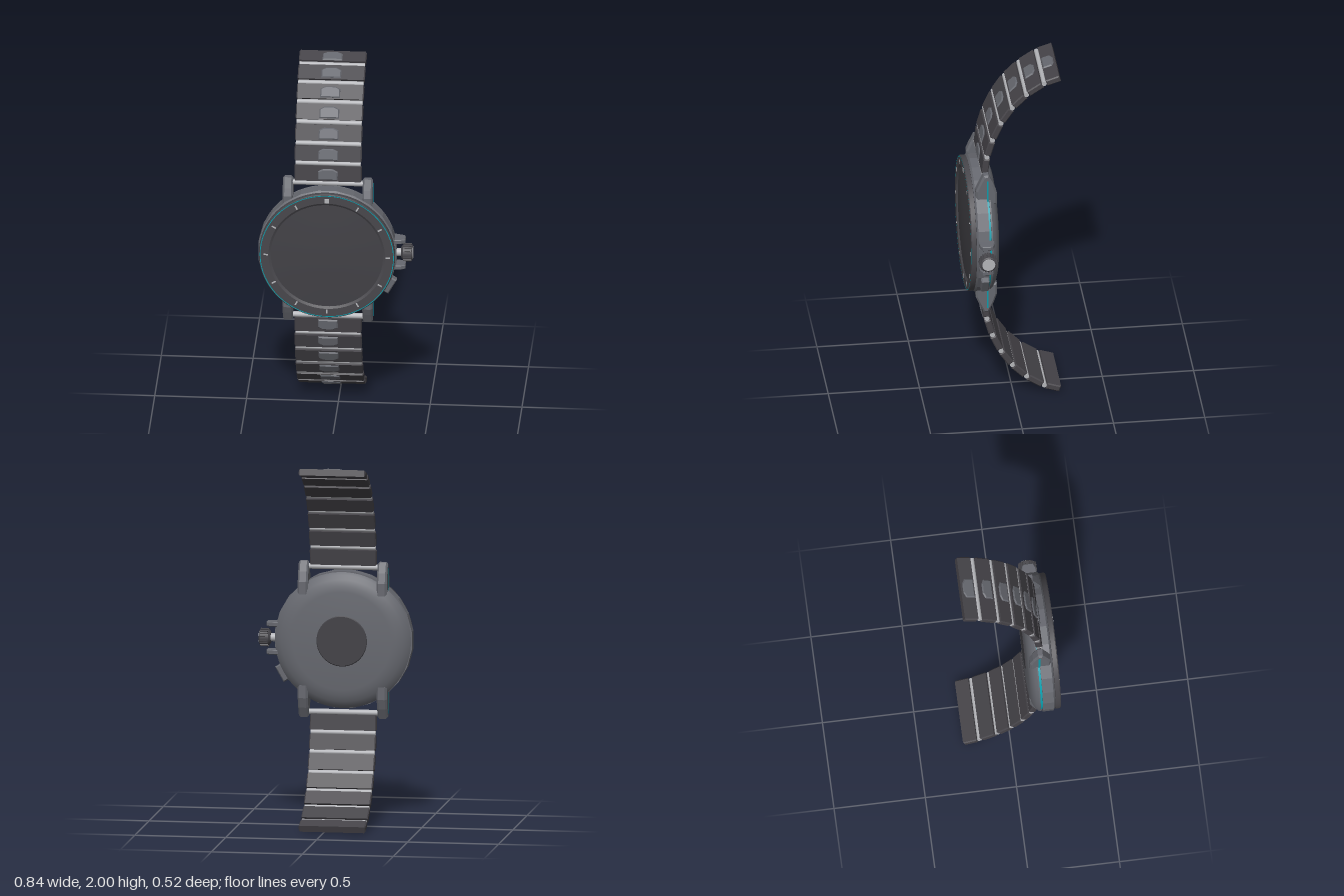
import * as THREE from 'three';
import { toCreasedNormals } from 'three/addons/utils/BufferGeometryUtils.js';

const mat = (name, color) => {
  const m = new THREE.MeshStandardMaterial({ color });
  m.name = name;
  return m;
};

export function createModel() {
  const caseGrey = mat('case grey', 0x66686f);
  const linkDark = mat('link charcoal', 0x454348);
  const bezelDark = mat('bezel charcoal', 0x48474c);
  const glass = mat('screen glass', 0x424146);
  const steel = mat('light steel', 0xb4b5b9);
  const teal = mat('teal accent', 0x0a9dac);

  const model = new THREE.Group();
  model.name = 'wristwatch';
  // Everything is built around the case axis, which runs along z
  const watch = new THREE.Group();
  watch.name = 'watch';
  watch.position.set(-0.045, 1, 0);
  model.add(watch);

  const add = (parent, name, geo, material, x = 0, y = 0, z = 0) => {
    const m = new THREE.Mesh(geo, material);
    m.name = name;
    m.position.set(x, y, z);
    parent.add(m);
    return m;
  };
  // Lathe from [radius, z] points, back to front
  const turned = (pts, seg, crease = 0.45) => {
    const g = new THREE.LatheGeometry(pts.map(p => new THREE.Vector2(p[0], p[1])), seg, Math.PI / seg);
    g.rotateX(Math.PI / 2);
    return toCreasedNormals(g, crease);
  };
  // Extrusion centred on its depth, bevel kept inside the total depth
  const slab = (pts, depth, bevel) => {
    const g = new THREE.ExtrudeGeometry(new THREE.Shape(pts.map(p => new THREE.Vector2(p[0], p[1]))), {
      depth: depth - 2 * bevel, bevelEnabled: bevel > 0, bevelSize: bevel,
      bevelThickness: bevel, bevelOffset: -bevel, bevelSegments: 1,
    });
    g.translate(0, 0, bevel - depth / 2);
    return g;
  };
  const rect = (w, h) => [[-w / 2, -h / 2], [w / 2, -h / 2], [w / 2, h / 2], [-w / 2, h / 2]];

  // Case
  add(watch, 'caseBack', turned([[0, 0.092], [0.27, 0.092], [0.3, 0.096], [0.335, 0.107],
    [0.36, 0.122], [0.374, 0.136], [0.372, 0.143], [0.35, 0.144]], 64), caseGrey);
  add(watch, 'accentRing', turned([[0.35, 0.143], [0.365, 0.143], [0.365, 0.156], [0.35, 0.156]], 64), teal);
  add(watch, 'caseBody', turned([[0.35, 0.155], [0.379, 0.155], [0.379, 0.215], [0.366, 0.225], [0.34, 0.225]], 24, 0.2), caseGrey);
  add(watch, 'sensorDisc', turned([[0, 0.088], [0.135, 0.088], [0.14, 0.093]], 48), glass);

  // Bezel, screen and dial markers
  add(watch, 'bezel', turned([[0.35, 0.22], [0.371, 0.226], [0.371, 0.25], [0.367, 0.255],
    [0.318, 0.255], [0.304, 0.246]], 64), bezelDark);
  add(watch, 'bezelAccent', new THREE.RingGeometry(0.361, 0.3655, 64), teal, 0, 0, 0.2558);
  add(watch, 'screen', turned([[0.306, 0.247], [0.22, 0.252], [0.12, 0.2565], [0, 0.259]], 64), glass);
  for (let i = 0; i < 12; i++) {
    const a = Math.PI / 2 - i * Math.PI / 6;
    const m = add(watch, 'hourMarker', new THREE.BoxGeometry(0.025, i === 0 ? 0.022 : 0.008, 0.003),
      steel, 0.333 * Math.cos(a), 0.333 * Math.sin(a), 0.2555);
    m.rotation.z = a;
  }

  // Strap joints as [y, z], from the case outwards
  const joints = [[0.4, 0.16], [0.51, 0.147], [0.615, 0.117], [0.72, 0.07],
    [0.812, 0.008], [0.89, -0.07], [0.953, -0.167], [0.985, -0.265]];
  const lugSide = [[0.1, 0.25], [0.215, 0.25], [0.215, 0.335], [0.198, 0.375],
    [0.172, 0.43], [0.145, 0.43], [0.118, 0.375], [0.1, 0.32]];
  const plate = [[-0.054, -0.032], [0.054, -0.032], [0.054, 0.018], [0.027, 0.032], [-0.027, 0.032], [-0.054, 0.018]];

  // One half: two lugs and a strap; the other is the same turned by 180 degrees
  for (const half of ['upper', 'lower']) {
    const g = new THREE.Group();
    g.name = half + 'Strap';
    if (half === 'lower') g.rotation.z = Math.PI;
    watch.add(g);

    for (const s of [-1, 1]) {
      add(g, 'lug', slab(lugSide, 0.056, 0.01).rotateY(-Math.PI / 2), caseGrey, s * 0.217, 0, 0);
      add(g, 'lugAccent', new THREE.BoxGeometry(0.002, 0.13, 0.009), teal, s * 0.2455, 0.335, 0.152);
    }
    for (let i = 0; i < joints.length - 1; i++) {
      const [y0, z0] = joints[i], [y1, z1] = joints[i + 1];
      const r = i === 0 ? 0.016 : 0.0135;
      add(g, i === 0 ? 'springBar' : 'linkPin',
        new THREE.CylinderGeometry(r, r, i === 0 ? 0.385 : 0.356, 16).rotateZ(Math.PI / 2), steel, 0, y0, z0);

      const link = new THREE.Group();
      link.name = 'link';
      link.position.set(0, (y0 + y1) / 2, (z0 + z1) / 2);
      link.rotation.x = Math.atan2(z1 - z0, y1 - y0);
      g.add(link);
      const len = Math.hypot(y1 - y0, z1 - z0) - 0.025;
      add(link, 'linkBody', slab(rect(0.036, len), 0.366, 0.006).rotateY(-Math.PI / 2), linkDark);
      add(link, 'linkPlate', slab(plate, 0.016, 0.006), caseGrey, 0, -0.004, 0.017);
    }
  }

  // Crown with grip ridges, on the right-hand side of the dial
  const crown = new THREE.Group();
  crown.name = 'crown';
  crown.position.set(0, 0, 0.172);
  watch.add(crown);
  const along = (r0, r1, x0, x1) => new THREE.CylinderGeometry(r1, r0, x1 - x0, 24)
    .rotateZ(-Math.PI / 2).translate((x0 + x1) / 2, 0, 0);
  add(crown, 'crownStem', along(0.022, 0.022, 0.36, 0.41), steel);
  add(crown, 'crownCollar', along(0.03, 0.045, 0.4, 0.412), bezelDark);
  add(crown, 'crownKnob', along(0.045, 0.045, 0.412, 0.458), bezelDark);
  add(crown, 'crownRim', along(0.045, 0.038, 0.458, 0.463), bezelDark);
  add(crown, 'crownCap', along(0.036, 0.035, 0.462, 0.465), steel);
  for (let i = 0; i < 20; i++) {
    const a = i * Math.PI / 10;
    const m = add(crown, 'crownRidge', new THREE.BoxGeometry(0.044, 0.008, 0.007), bezelDark,
      0.435, 0.046 * Math.cos(a), 0.046 * Math.sin(a));
    m.rotation.x = a;
  }

  // Crown guards
  const guard = [[0.34, 0.125], [0.38, 0.13], [0.418, 0.142], [0.424, 0.155],
    [0.424, 0.2], [0.4, 0.212], [0.34, 0.216]];
  for (const s of [-1, 1]) {
    add(watch, 'crownGuard', slab(guard, 0.026, 0.004).rotateX(Math.PI / 2), caseGrey, 0, s * 0.077, 0);
  }

  // Side button
  const button = add(watch, 'sideButton', slab(rect(0.05, 0.095), 0.046, 0.006), caseGrey,
    0.382 * Math.cos(-0.52), 0.382 * Math.sin(-0.52), 0.178);
  button.rotation.z = -0.52;

  return model;
}
